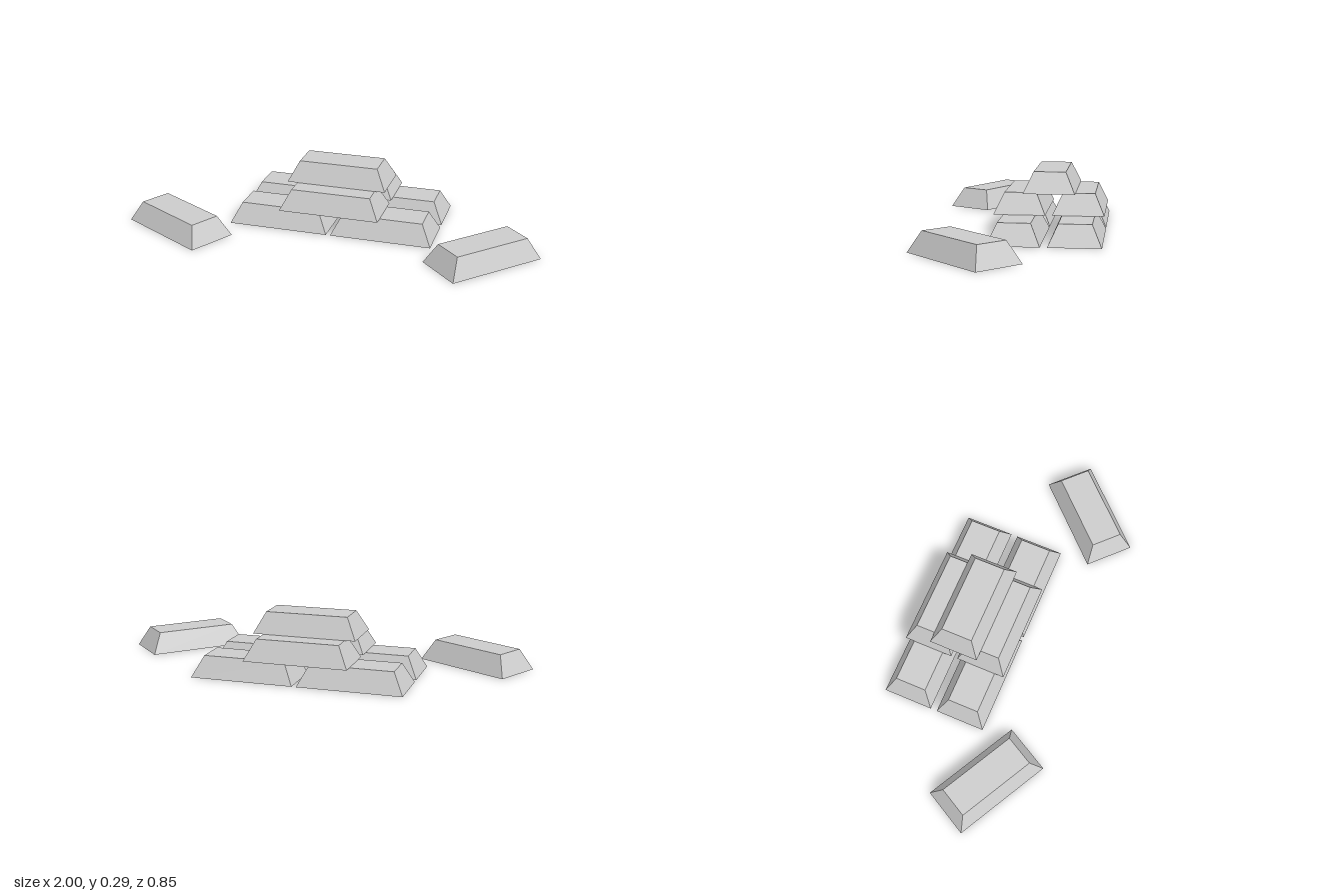
import * as THREE from 'three';

const LENGTH = 0.49, DEPTH = 0.24, HEIGHT = 0.098;
const TOP_LENGTH = 0.39, TOP_DEPTH = 0.15;

// Tapered ingot shell standing on y = 0, hollow underneath
function ingotGeometry() {
  const geo = new THREE.BoxGeometry(LENGTH, HEIGHT, DEPTH);
  geo.translate(0, HEIGHT / 2, 0);
  const pos = geo.attributes.position;
  for (let i = 0; i < pos.count; i++) {
    if (pos.getY(i) < HEIGHT / 2) continue;
    pos.setX(i, Math.sign(pos.getX(i)) * TOP_LENGTH / 2);
    pos.setZ(i, Math.sign(pos.getZ(i)) * TOP_DEPTH / 2);
  }
  // Leave out the underside (fourth box face)
  const index = Array.from(geo.index.array);
  index.splice(18, 6);
  geo.setIndex(index);
  geo.clearGroups();
  geo.computeVertexNormals();
  return geo;
}

export function createModel() {
  const model = new THREE.Group();
  model.name = 'ingotPile';
  const metal = new THREE.MeshStandardMaterial({ color: 0xcccccc, side: THREE.DoubleSide });
  metal.name = 'paleMetal';
  const geo = ingotGeometry();

  const addIngot = (name, x, layer, z, turn = 0) => {
    const ingot = new THREE.Mesh(geo, metal);
    ingot.name = name;
    ingot.position.set(x, layer * HEIGHT, z);
    ingot.rotation.y = turn;
    model.add(ingot);
  };

  // Stack: four below, two across the joint, one on top
  for (const [row, z] of [['back', -0.308], ['front', -0.036]]) {
    addIngot(row + 'RightBaseIngot', -0.267, 0, z);
    addIngot(row + 'LeftBaseIngot', 0.244, 0, z);
    addIngot(row + 'MiddleIngot', -0.013, 1, z);
  }
  addIngot('topIngot', -0.013, 2, -0.172);

  // Loose ingots on either side
  addIngot('rightLooseIngot', -0.728, 0, 0.2, -0.5);
  addIngot('leftLooseIngot', 0.742, 0, 0.139, 0.8);

  return model;
}
